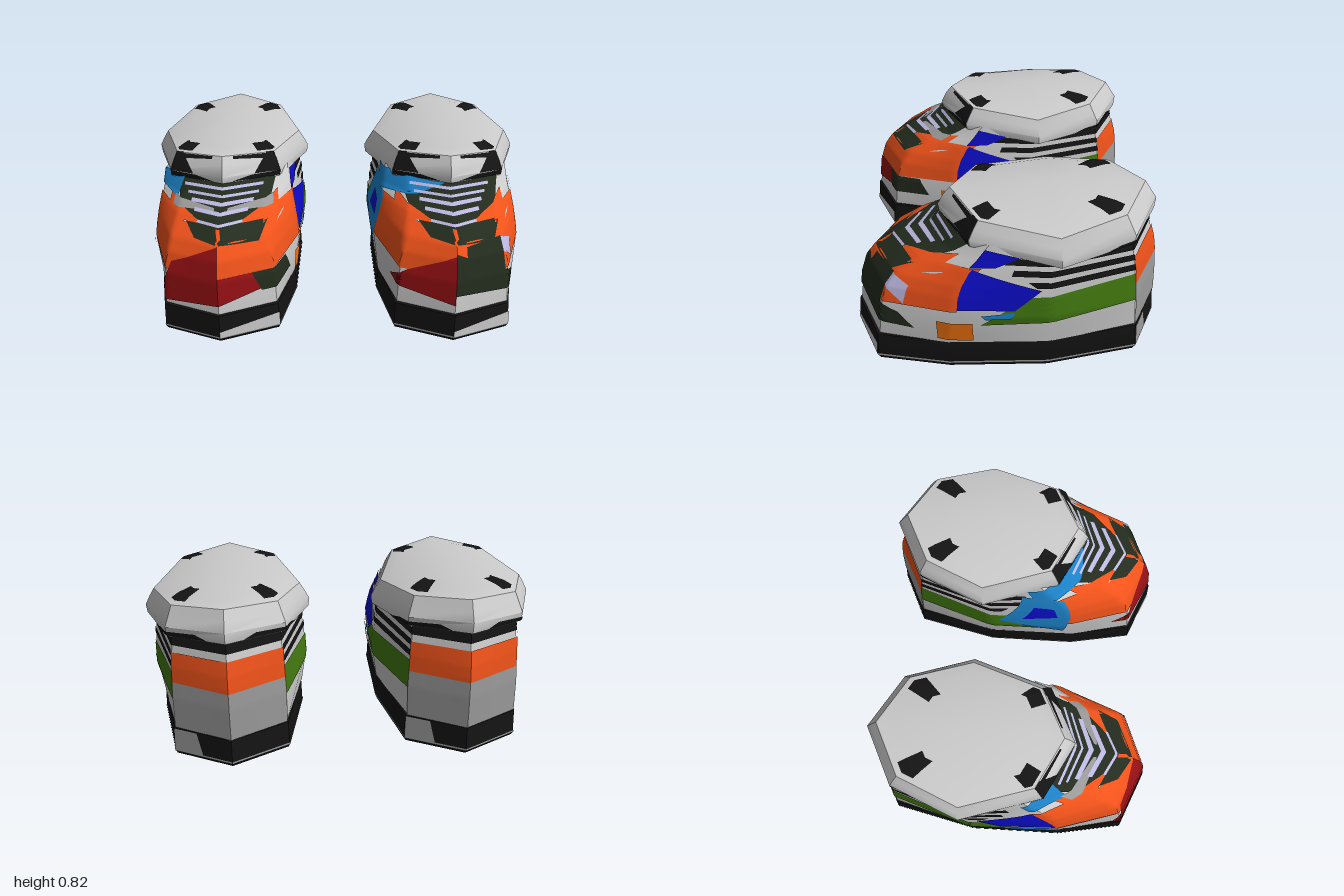
import * as THREE from 'three';
import { toCreasedNormals } from 'three/addons/utils/BufferGeometryUtils.js';

const GREY = 0xcccccc, MID = 0x999999, BLACK = 0x141414, DARK = 0x232c1e, ORANGE = 0xf0521a,
  AMBER = 0xf5740f, RED = 0x961014, BLUE = 0x0c0cc8, SKY = 0x1c82c8, GREEN = 0x437a10, LILAC = 0xbcb8e0;

// A ring is a half outline from toe to heel, mirrored; u runs 0 (toe) to n (heel), negative on the other side.
const ring = (level, y, pts) => ({ level, pts: pts.map(([x, z], i) => [x, Array.isArray(y) ? y[i] : y, z]) });

function ringPoint(r, u) {
  const n = r.pts.length - 1;
  if (u > n) u -= 2 * n;
  const a = Math.min(Math.abs(u), n), i = Math.min(Math.floor(a), n - 1);
  const p = new THREE.Vector3(...r.pts[i]).lerp(new THREE.Vector3(...r.pts[i + 1]), a - i);
  if (u < 0) p.x *= -1;
  return p;
}

function surface(rings, u, level) {
  let i = 0;
  while (i < rings.length - 2 && level > rings[i + 1].level) i++;
  const a = rings[i], b = rings[i + 1];
  const t = THREE.MathUtils.clamp((level - a.level) / (b.level - a.level), 0, 1);
  return ringPoint(a, u).lerp(ringPoint(b, u), t);
}

function gridMesh(name, color, nu, nv, fn) {
  const pos = [], index = [], w = nu + 1;
  for (let j = 0; j <= nv; j++) for (let i = 0; i <= nu; i++) pos.push(...fn(i, j).toArray());
  for (let j = 0; j < nv; j++) for (let i = 0; i < nu; i++) {
    const a = j * w + i;
    index.push(a, a + 1, a + w + 1, a, a + w + 1, a + w);
  }
  const geo = new THREE.BufferGeometry();
  geo.setAttribute('position', new THREE.Float32BufferAttribute(pos, 3));
  geo.setIndex(index);
  const mesh = new THREE.Mesh(toCreasedNormals(geo, 0.6), new THREE.MeshStandardMaterial({ color }));
  mesh.name = name;
  return mesh;
}

function loft(name, color, rings) {
  const n = rings[0].pts.length - 1;
  return gridMesh(name, color, 2 * n, rings.length - 1, (i, j) => ringPoint(rings[j], i - n));
}

// Four-cornered patch lying just above a lofted surface; corners are [u, level], counter-clockwise.
function panel(name, color, rings, corners, lift) {
  const N = 20, [a, b, c, d] = corners, mix = THREE.MathUtils.lerp;
  const span = rings[rings.length - 1].level - rings[0].level, ev = span * 0.004;
  return gridMesh(name, color, N, N, (i, j) => {
    const s = i / N, t = j / N;
    const [u, v] = [0, 1].map(k => mix(mix(a[k], b[k], s), mix(d[k], c[k], s), t));
    const du = surface(rings, u + 0.01, v).sub(surface(rings, u - 0.01, v));
    const dv = surface(rings, u, v + ev).sub(surface(rings, u, v - ev));
    return surface(rings, u, v).addScaledVector(du.cross(dv).normalize(), lift);
  });
}

const mirror = q => [q[1], q[0], q[3], q[2]].map(([u, v]) => [-u, v]);
const rect = (u0, u1, v0, v1) => [[u0, v0], [u1, v0], [u1, v1], [u0, v1]];

const upperRings = [
  ring(0.15, 0.15, [[0, 0.745], [0.28, 0.63], [0.36, 0.3], [0.375, -0.18], [0.275, -0.61], [0, -0.755]]),
  ring(0.32, 0.32, [[0, 0.722], [0.27, 0.61], [0.38, 0.28], [0.4, -0.18], [0.275, -0.6], [0, -0.748]]),
  ring(0.42, 0.42, [[0, 0.69], [0.255, 0.575], [0.365, 0.27], [0.395, -0.18], [0.27, -0.59], [0, -0.738]]),
  ring(0.48, 0.48, [[0, 0.648], [0.24, 0.53], [0.355, 0.25], [0.388, -0.18], [0.268, -0.585], [0, -0.728]]),
  ring(0.55, 0.55, [[0, 0.535], [0.22, 0.42], [0.34, 0.21], [0.38, -0.18], [0.265, -0.575], [0, -0.708]]),
  ring(0.6, 0.6, [[0, 0.38], [0.21, 0.3], [0.33, 0.16], [0.372, -0.18], [0.26, -0.565], [0, -0.692]]),
  ring(0.68, 0.68, [[0, 0.28], [0.2, 0.21], [0.32, 0.1], [0.36, -0.18], [0.25, -0.55], [0, -0.675]]),
];

const soleOutline = [[0, 0.762], [0.29, 0.645], [0.362, 0.3], [0.374, -0.18], [0.285, -0.62], [0, -0.764]];
const scaled = (pts, s, cz = 0) => pts.map(([x, z]) => [x * s, cz + (z - cz) * s]);
const soleRings = [
  ring(-0.01, 0, scaled(soleOutline, 0)),
  ring(0, 0, scaled(soleOutline, 0.985)),
  ring(0.02, 0.02, scaled(soleOutline, 1.003)),
  ring(0.15, 0.15, scaled(soleOutline, 0.99)),
  ring(0.16, 0.16, scaled(soleOutline, 0.96)),
];

const collarOutline = [[0, 0.335], [0.285, 0.19], [0.42, -0.22], [0.285, -0.57], [0, -0.72]];
const collarRings = [
  [0.85, [0.67, 0.66, 0.63, 0.66, 0.67]],
  [0.99, [0.67, 0.65, 0.612, 0.64, 0.652]],
  [1, [0.705, 0.685, 0.655, 0.685, 0.71]],
  [0.945, [0.76, 0.73, 0.7, 0.73, 0.755]],
  [0.885, [0.798, 0.77, 0.742, 0.78, 0.805]],
  [0.72, [0.804, 0.788, 0.77, 0.798, 0.81]],
  [0, 0.818],
].map(([s, y], i) => ring(i, y, scaled(collarOutline, s, -0.19)));

// Patches shared by both shoes: [name, colour, corners, mirrored too]
const sidePanels = [
  ['greenQuarter', GREEN, [[2.3, 0.27], [4, 0.31], [4, 0.46], [2.75, 0.43]], true],
  ['heelCounter', MID, rect(4, 6, 0.155, 0.4)],
  ['heelBand', ORANGE, rect(4, 6, 0.4, 0.555)],
  ['heelTop', BLACK, rect(4, 6, 0.59, 0.66)],
  ['stripeLow', BLACK, [[2.85, 0.48], [4, 0.482], [4, 0.515], [2.75, 0.51]], true],
  ['stripeMiddle', BLACK, rect(2.55, 4, 0.538, 0.568), true],
  ['stripeHigh', BLACK, rect(2.4, 4, 0.592, 0.625), true],
  ['vampSide', ORANGE, [[0.9, 0.34], [2.05, 0.35], [2.15, 0.57], [0.8, 0.55]], true],
  ['toeOverlay', ORANGE, [[-1, 0.34], [1, 0.34], [0.9, 0.53], [-0.9, 0.53]]],
  ['tongue', DARK, [[-0.5, 0.49], [0.8, 0.47], [1.5, 0.66], [-1.5, 0.66]]],
  ['vampWing', ORANGE, [[0.5, 0.535], [1.5, 0.53], [1.5, 0.6], [0.5, 0.545]], true],
];

// Patches that differ per shoe
const leftPanels = [
  ['toeRed', RED, [[-1.3, 0.26], [0, 0.2], [0, 0.44], [-0.85, 0.34]]],
  ['toeDark', DARK, [[0, 0.25], [1.5, 0.22], [1.25, 0.3], [0, 0.45]]],
  ['toeDarkUpper', DARK, [[0.2, 0.4], [0.95, 0.33], [0.95, 0.48], [0.2, 0.47]]],
  ['toeAccent', LILAC, [[0.95, 0.42], [1.3, 0.35], [1.3, 0.44], [0.95, 0.48]]],
  ['innerSky', SKY, [[-2.9, 0.38], [-2.1, 0.24], [-1.9, 0.56], [-2.45, 0.62]]],
  ['innerBlue', BLUE, [[-2.6, 0.4], [-2.15, 0.42], [-2.15, 0.5], [-2.4, 0.52]]],
  ['ankleSky', SKY, [[-2.3, 0.57], [-0.8, 0.6], [0, 0.665], [-2.3, 0.665]]],
];
const rightPanels = [
  ['toeRed', RED, [[-1.15, 0.17], [0, 0.2], [0, 0.48], [-0.9, 0.38]]],
  ['toeRedTail', RED, [[0, 0.2], [0.75, 0.25], [0.6, 0.34], [0, 0.34]]],
  ['toeDark', DARK, [[0.75, 0.24], [1.6, 0.24], [1.4, 0.34], [0.6, 0.34]]],
  ['outerBlue', BLUE, mirror([[2.0, 0.37], [2.65, 0.37], [2.9, 0.47], [2.15, 0.57]])],
  ['outerSky', SKY, mirror([[1.9, 0.22], [2.4, 0.22], [2.65, 0.36], [2, 0.36]])],
  ['ankleSky', SKY, [[-2.1, 0.6], [-1.2, 0.58], [-1, 0.665], [-2.1, 0.665]]],
  ['tongueGrey', MID, [[0.15, 0.572], [1.3, 0.56], [1.3, 0.59], [0.15, 0.578]], true],
];
const accents = [
  ['sideBlue', BLUE, [[2.05, 0.36], [2.64, 0.36], [2.9, 0.47], [2.05, 0.565]]],
  ['sideBlueUpper', BLUE, [[2, 0.57], [2.3, 0.575], [2.55, 0.63], [2, 0.66]]],
  ['sideSky', SKY, [[2.35, 0.31], [2.6, 0.315], [2.65, 0.35], [2.3, 0.33]]],
  ['sideAmber', AMBER, [[1.85, 0.18], [2.25, 0.17], [2.22, 0.285], [1.8, 0.29]]],
];

function makeShoe(name, own) {
  const shoe = new THREE.Group();
  shoe.name = name;
  shoe.add(loft('sole', BLACK, soleRings), loft('upper', GREY, upperRings), loft('collar', GREY, collarRings));

  // Coloured upper, each layer a little above the last
  [[sidePanels, 0.005], [own, 0.0075], [accents, 0.0085]].forEach(([list, lift]) => {
    list.forEach(([n, color, q, both], k) => {
      const h = lift + k * 0.0002;
      shoe.add(panel(n, color, upperRings, q, h));
      if (both) shoe.add(panel(n, color, upperRings, mirror(q), h));
    });
  });

  // Laces
  [0.535, 0.562, 0.583, 0.605, 0.632].forEach((y, i) => {
    const w = 0.5 + i * 0.12, t = i < 2 ? 0.009 : 0.007 + i * 0.001;
    shoe.add(panel('lace', LILAC, upperRings, rect(-w, w, y, y + t), 0.011));
  });

  // Sole trim
  shoe.add(panel('soleToeTrim', GREY, soleRings, [[0, 0.03], [1, 0.03], [1, 0.1], [0, 0.06]], 0.005));
  shoe.add(panel('soleHeelTrim', MID, soleRings, [[4, 0.03], [4.5, 0.03], [4.4, 0.149], [4, 0.149]], 0.005));
  shoe.add(panel('soleEdge', MID, soleRings, rect(-5, 5, 0.022, 0.032), 0.003));

  // Dark markings on the padded collar
  [
    [[0.15, 1.2], [1, 1.2], [1, 2], [0.5, 1.9]],
    [[0.55, 2], [1, 2], [1, 4], [0.85, 4]],
    [[0.2, 3.6], [1, 3.3], [1, 3.9], [0.2, 3.9]],
    rect(0.7, 1.1, 4.2, 5.05),
    rect(2.8, 3.2, 4.4, 5.25),
    [[2.6, 1.1], [3.7, 1.1], [3.5, 1.6], [2.8, 1.5]],
  ].forEach(q => [q, mirror(q)].forEach(c => shoe.add(panel('collarMark', BLACK, collarRings, c, 0.004))));
  return shoe;
}

export function createModel() {
  const group = new THREE.Group();
  group.name = 'pairOfShoes';
  const left = makeShoe('leftShoe', leftPanels), right = makeShoe('rightShoe', rightPanels);
  left.position.x = 0.588;
  right.position.x = -0.578;
  group.add(left, right);
  return group;
}
